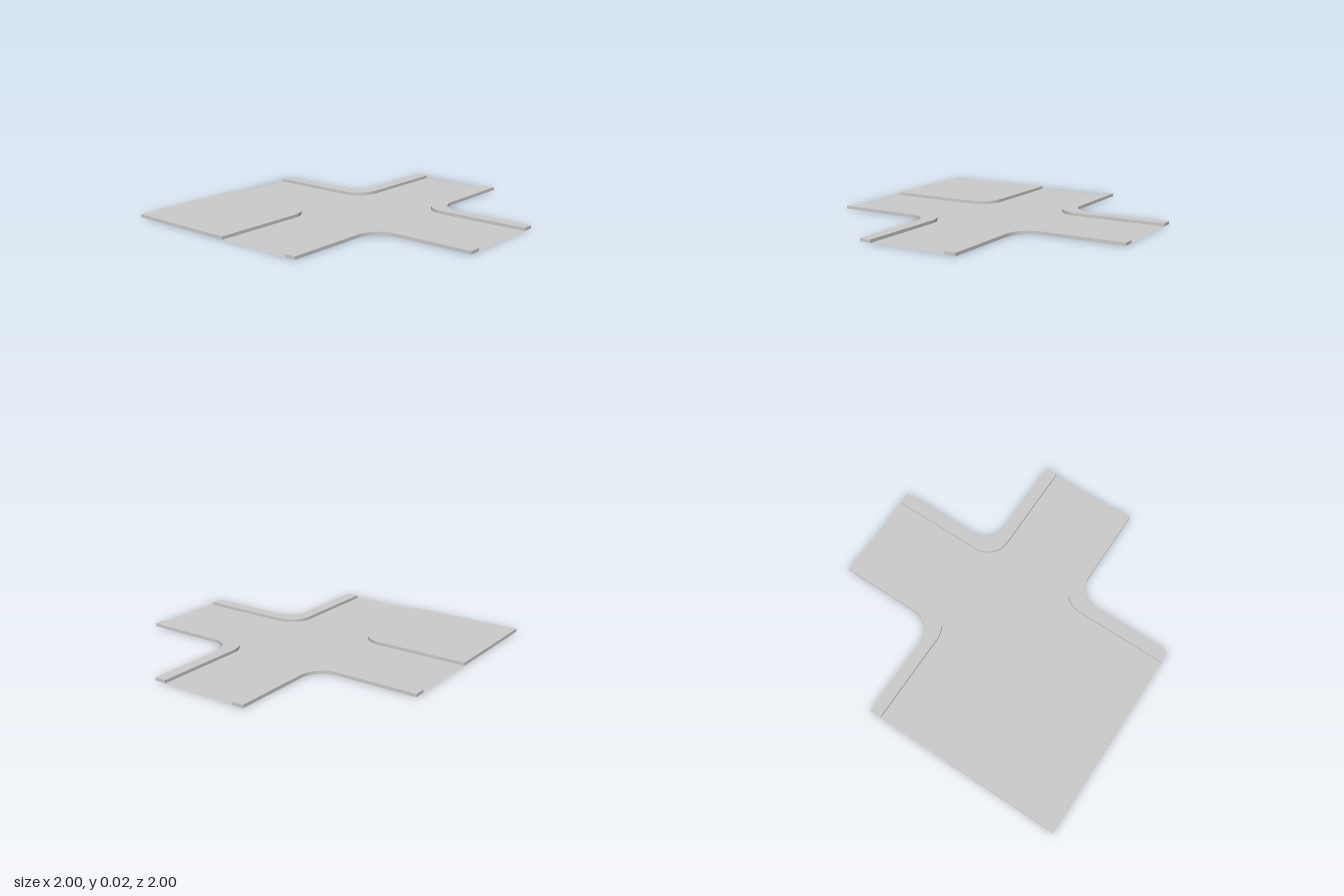
import * as THREE from 'three';
import { toCreasedNormals } from 'three/addons/utils/BufferGeometryUtils.js';

const END = 1, KERB = 0.25, OUTER = 0.325, RADIUS = 0.15, HEIGHT = 0.02, SEGMENTS = 10;

// Points of a rounded inside corner, from the end of one arm to the end of the next,
// turned by a number of quarter turns.
function cornerLine(edge, quarter = 0) {
  const points = [new THREE.Vector2(END, edge)];
  const c = edge + RADIUS;
  for (let i = 0; i <= SEGMENTS; i++) {
    const a = -Math.PI / 2 - (i / SEGMENTS) * Math.PI / 2;
    points.push(new THREE.Vector2(c + RADIUS * Math.cos(a), c + RADIUS * Math.sin(a)));
  }
  points.push(new THREE.Vector2(edge, END));
  const origin = new THREE.Vector2();
  return points.map(p => p.rotateAround(origin, quarter * Math.PI / 2));
}

// Raised slab from an outline, lying flat on the ground
function slab(outline, material, name) {
  const geometry = new THREE.ExtrudeGeometry(new THREE.Shape(outline), { depth: HEIGHT, bevelEnabled: false });
  geometry.rotateX(-Math.PI / 2);
  const mesh = new THREE.Mesh(toCreasedNormals(geometry, 0.5), material);
  mesh.name = name;
  return mesh;
}

export function createModel() {
  const group = new THREE.Group();
  group.name = 'roadCrossing';
  const material = new THREE.MeshStandardMaterial({ color: 0xcccccc });
  const thin = new THREE.MeshStandardMaterial({ color: 0xcccccc, side: THREE.DoubleSide });

  // Flat road surface bounded by the four kerbs
  const roadOutline = [0, 1, 2, 3].flatMap(q => cornerLine(KERB, q));
  const roadGeometry = new THREE.ShapeGeometry(new THREE.Shape(roadOutline));
  roadGeometry.rotateX(-Math.PI / 2);
  const road = new THREE.Mesh(roadGeometry, thin);
  road.name = 'road';
  group.add(road);

  // Narrow pavements round three corners
  for (const q of [0, 2, 3]) {
    const outline = [...cornerLine(KERB, q), ...cornerLine(OUTER, q).reverse()];
    group.add(slab(outline, material, `pavement${q}`));
  }

  // Full square block filling the fourth corner
  group.add(slab([...cornerLine(KERB, 1), new THREE.Vector2(-END, END)], material, 'cornerBlock'));

  return group;
}
